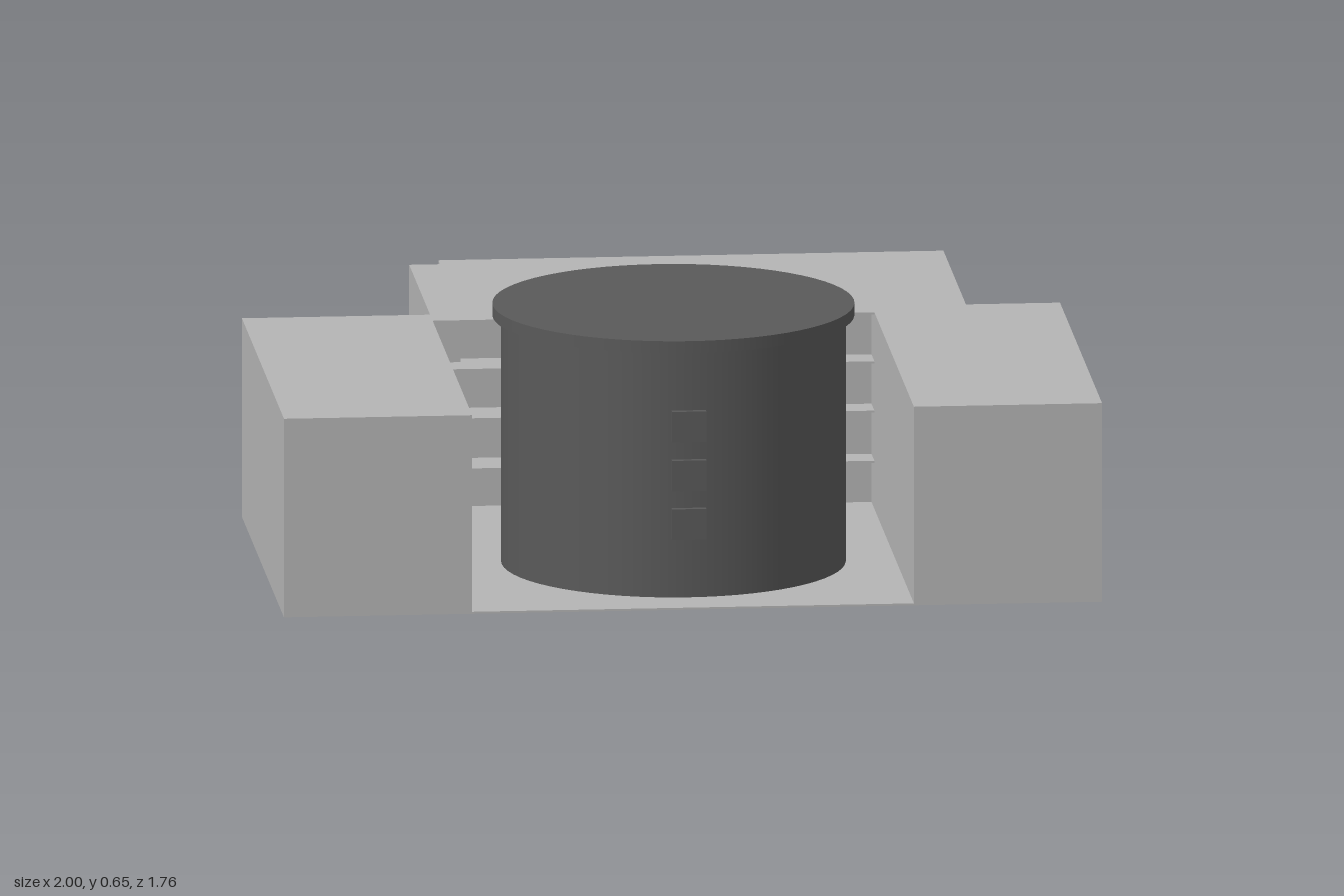
import * as THREE from 'three';

const H = 0.495;

export function createModel() {
  const model = new THREE.Group();
  const lightGrey = new THREE.MeshStandardMaterial({ name: 'light grey', color: 0xb4b4b4 });
  const darkGrey = new THREE.MeshStandardMaterial({ name: 'dark grey', color: 0x595959 });

  const add = (name, geometry, material) => {
    const mesh = new THREE.Mesh(geometry, material);
    mesh.name = name;
    model.add(mesh);
    return mesh;
  };
  // box given by its minimum and maximum corners
  const box = (name, material, [x0, y0, z0], [x1, y1, z1]) =>
    add(name, new THREE.BoxGeometry(x1 - x0, y1 - y0, z1 - z0), material)
      .position.set((x0 + x1) / 2, (y0 + y1) / 2, (z0 + z1) / 2);

  // U-shaped block around the courtyard, as a plan of [x, z] corners
  const plan = [
    [-1, 0.88], [-0.54, 0.88], [-0.54, -0.32], [0.54, -0.32], [0.54, 0.88], [1, 0.88],
    [1, -0.27], [0.77, -0.27], [0.77, -0.885], [-0.465, -0.885], [-0.465, -0.84],
    [-0.54, -0.84], [-0.54, -0.27], [-1, -0.27],
  ];
  const walls = new THREE.ExtrudeGeometry(
    new THREE.Shape(plan.map(([x, z]) => new THREE.Vector2(x, -z))),
    { depth: H, bevelEnabled: false },
  );
  walls.rotateX(-Math.PI / 2);
  add('mainBuilding', walls, lightGrey);

  // courtyard floor, then gallery decks and roof edge over the recessed back wall
  box('courtyardFloor', lightGrey, [-0.54, 0, -0.32], [0.54, 0.005, 0.88]);
  for (const y of [0.125, 0.25, 0.373, H]) {
    box(y === H ? 'roofEdge' : 'galleryDeck', lightGrey, [-0.54, y - 0.005, -0.32], [0.54, y, -0.2]);
  }
  for (const s of [-1, 1]) {
    const xs = [0.465 * s, 0.54 * s].sort((a, b) => a - b);
    box('galleryPier', lightGrey, [xs[0], 0.005, -0.32], [xs[1], H - 0.005, -0.28]);
  }

  // low annex behind one wing
  box('annex', lightGrey, [-0.77, 0, -0.445], [-0.54, 0.25, -0.27]);

  // round drum with its overhanging lid
  add('drum', new THREE.CylinderGeometry(0.42, 0.42, 0.62, 64), darkGrey).position.set(0, 0.312, 0.343);
  add('drumLid', new THREE.CylinderGeometry(0.441, 0.441, 0.03, 64), darkGrey).position.set(0, 0.633, 0.343);

  // projecting window boxes on the front of the drum
  for (const y of [0.19, 0.311, 0.433]) {
    box('windowBox', darkGrey, [-0.042, y - 0.038, 0.74], [0.042, y + 0.038, 0.778]);
  }
  return model;
}
